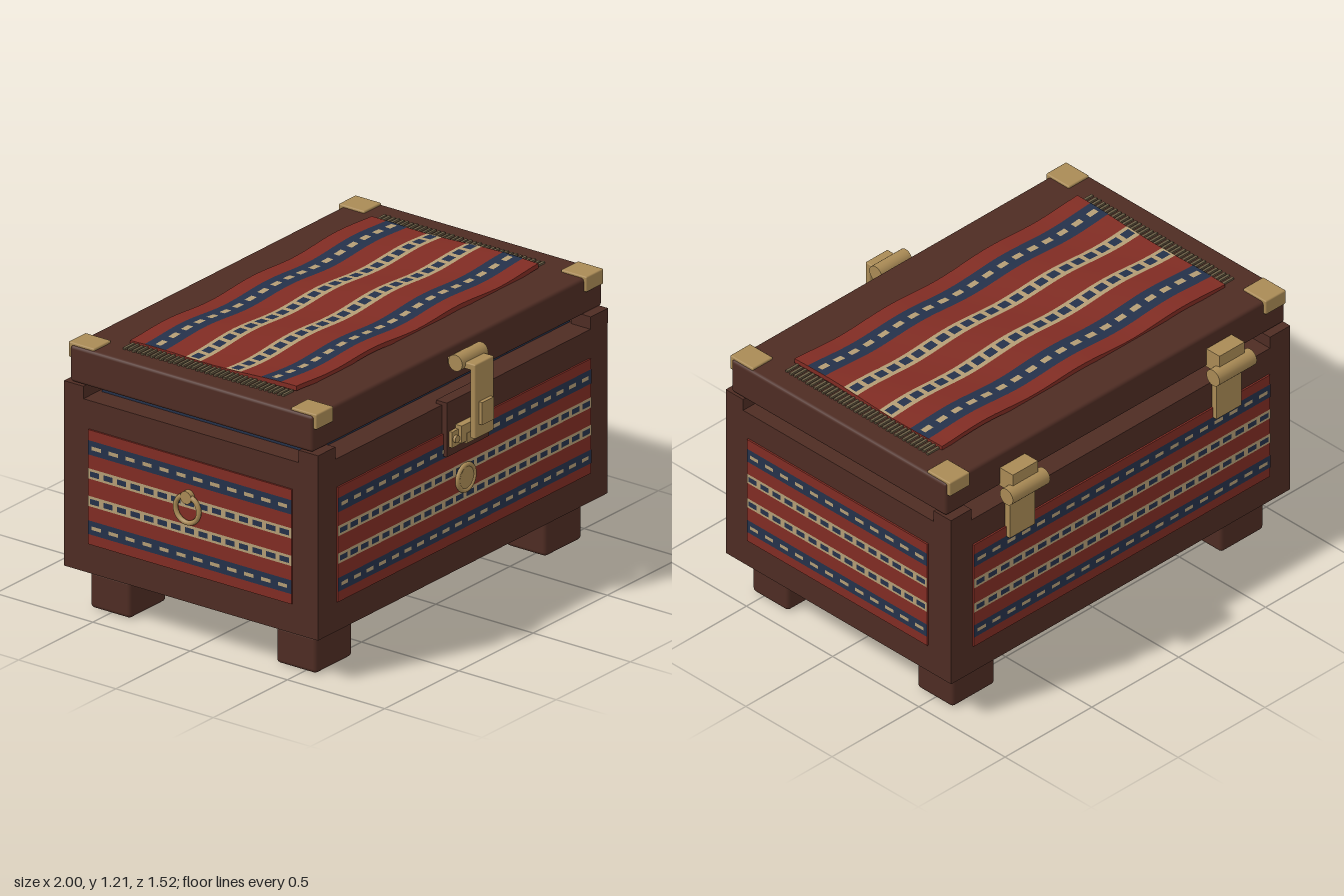
import * as THREE from 'three';
import { mergeGeometries } from 'three/addons/utils/BufferGeometryUtils.js';
import { RoundedBoxGeometry } from 'three/addons/geometries/RoundedBoxGeometry.js';

const mat = (name, color) => Object.assign(new THREE.MeshStandardMaterial({ color }), { name });

export function createModel() {
  const wood = mat('dark wood', 0x4e2c23);
  const red = mat('woven red', 0x802c23);
  const blue = mat('woven navy', 0x24314a);
  const cream = mat('woven cream', 0xb39c74);
  const brass = mat('brass', 0xa98a55);
  const fringeMat = mat('fringe thread', 0x6a5d45);

  const root = new THREE.Group();
  root.name = 'chest';
  const CX = 0.012, CZ = -0.022;

  const add = (name, geo, material, parent = root) => {
    const m = new THREE.Mesh(geo, material);
    m.name = name;
    parent.add(m);
    return m;
  };
  // Box given by its limits; r > 0 rounds the edges
  const box = (name, material, [x0, x1], [y0, y1], [z0, z1], r = 0, parent = root) => {
    const s = [x1 - x0, y1 - y0, z1 - z0];
    const g = r ? new RoundedBoxGeometry(...s, 2, r) : new THREE.BoxGeometry(...s);
    const m = add(name, g, material, parent);
    m.position.set((x0 + x1) / 2, (y0 + y1) / 2, (z0 + z1) / 2);
    return m;
  };
  // Cylinder lying along one axis
  const rod = (name, r, len, axis, x, y, z, parent = root) => {
    const g = new THREE.CylinderGeometry(r, r, len, 24);
    if (axis === 'x') g.rotateZ(Math.PI / 2);
    if (axis === 'z') g.rotateX(Math.PI / 2);
    const m = add(name, g, brass, parent);
    m.position.set(x, y, z);
    return m;
  };

  // Woven cloth in the xy plane facing +z, optionally rippled
  function cloth(name, w, h, thick, ripple = () => 0) {
    const group = new THREE.Group();
    group.name = name;
    const bend = (g) => {
      const p = g.attributes.position;
      for (let i = 0; i < p.count; i++)
        if (p.getZ(i) > 0) p.setZ(i, p.getZ(i) + ripple(p.getX(i), p.getY(i)));
      g.computeVertexNormals();
      return g;
    };
    const patch = (x, y, pw, ph, lift, seg) => {
      const g = new THREE.PlaneGeometry(pw, ph, seg, 1);
      return bend(g.translate(x, y, thick + lift));
    };
    add('clothBase', bend(new THREE.BoxGeometry(w, h, thick, 64, 12, 1).translate(0, 0, thick / 2)), red, group);
    const navy = [], pale = [];
    // [top, bottom] of each band as fractions of the height, and its kind
    const bands = [[0.09, 0.215, 'navy'], [0.335, 0.425, 'cream'], [0.575, 0.665, 'cream'], [0.79, 0.91, 'navy']];
    for (const [a, b, kind] of bands) {
      const y = h * (0.5 - (a + b) / 2), bh = h * (b - a);
      const isNavy = kind === 'navy';
      (isNavy ? navy : pale).push(patch(0, y, w, bh, 0.0015, 64));
      const n = Math.round(w / (isNavy ? 0.085 : 0.07)), step = w / n;
      for (let i = 0; i < n; i++) {
        const x = -w / 2 + (i + 0.5) * step;
        (isNavy ? pale : navy).push(patch(x, y, step * (isNavy ? 0.55 : 0.68), bh * (isNavy ? 0.26 : 0.52), 0.003, 3));
      }
    }
    add('navyWeave', mergeGeometries(navy), blue, group);
    add('creamWeave', mergeGeometries(pale), cream, group);
    root.add(group);
    return group;
  }

  // Carcass, base, lid and the lining in the gap
  box('body', wood, [-0.965, 0.988], [0.195, 0.96], [-0.675, 0.63]);
  box('basePlinth', wood, [-0.885, 0.91], [0.16, 0.2], [-0.577, 0.53]);
  box('lining', blue, [-0.86, 0.885], [0.95, 1.022], [-0.56, 0.515]);
  box('lid', wood, [-0.965, 0.988], [1.02, 1.18], [-0.645, 0.602], 0.014);

  // Feet, post tops and lid corner caps at each corner
  for (const sx of [-1, 1]) for (const sz of [-1, 1]) {
    const span = (c, s, a, b) => [c + s * a, c + s * b].sort((p, q) => p - q);
    box('foot', wood, span(CX, sx, 0.65, 0.897), [0, 0.166], span(CZ, sz, 0.373, 0.582), 0.018);
    box('cornerPost', wood, span(CX, sx, 0.86, 0.977), [0.95, 1.015], span(CZ, sz, 0.553, 0.653));
    box('cornerCap', brass, span(CX, sx, 0.852, 0.968), [1.122, 1.19], span(CZ, sz, 0.505, 0.638), 0.006);
  }

  // Cloth panels on the four sides
  const T = 0.008, PY = 0.58, PH = 0.508;
  cloth('frontCloth', 1.706, PH, T).position.set(CX, PY, 0.63);
  const back = cloth('backCloth', 1.706, PH, T);
  back.position.set(CX, PY, -0.675);
  back.rotation.y = Math.PI;
  for (const s of [-1, 1]) {
    const side = cloth(s > 0 ? 'leftCloth' : 'rightCloth', 1.045, PH, T);
    side.position.set(s > 0 ? 0.988 : -0.965, PY, CZ);
    side.rotation.y = s * Math.PI / 2;
  }

  // Rippled runner over the lid, with fringe at both ends
  const ripple = (x, y) => 0.007 * Math.sin(11 * x + 1.5 * Math.sin(4 * y)) + 0.004 * Math.cos(9 * y + 3 * x);
  const runner = cloth('lidRunner', 1.63, 0.856, 0.021, ripple);
  runner.position.set(CX, 1.179, -0.032);
  runner.rotation.x = -Math.PI / 2;
  const threads = [];
  for (const s of [-1, 1]) for (let i = 0; i < 36; i++) {
    const g = new THREE.BoxGeometry(0.066, 0.008, 0.012);
    threads.push(g.translate(CX + s * 0.848, 1.184 + 0.002 * (i % 2), -0.44 + i * 0.0233));
  }
  add('fringe', mergeGeometries(threads), fringeMat);

  // Hinges on the back
  for (const x of [-0.585, 0.605]) {
    const hinge = new THREE.Group();
    hinge.name = 'hinge';
    root.add(hinge);
    box('upperLeaf', brass, [x - 0.072, x + 0.072], [1.02, 1.11], [-0.72, -0.64], 0, hinge);
    box('lowerLeaf', brass, [x - 0.072, x + 0.072], [0.785, 1.02], [-0.702, -0.67], 0, hinge);
    rod('knuckle', 0.038, 0.215, 'x', x, 1.018, -0.718, hinge);
  }

  // Front clasp: wooden plate, keeper, hanging strap and pivot
  const clasp = new THREE.Group();
  clasp.name = 'clasp';
  root.add(clasp);
  box('claspPlate', wood, [-0.13, 0.155], [0.735, 0.975], [0.6, 0.656], 0, clasp);
  box('keeper', brass, [-0.115, 0.14], [0.775, 0.845], [0.65, 0.672], 0, clasp);
  box('keeperLoop', brass, [-0.072, 0.094], [0.785, 0.862], [0.65, 0.688], 0, clasp);
  for (const s of [-1, 1]) rod('rivet', 0.016, 0.014, 'z', CX + s * 0.106, 0.81, 0.677, clasp);
  box('strap', brass, [-0.053, 0.075], [0.81, 1.14], [0.715, 0.743], 0.006, clasp);
  box('strapArm', brass, [-0.053, 0.075], [1.11, 1.14], [0.59, 0.74], 0.006, clasp);
  box('strapStud', brass, [-0.028, 0.05], [0.87, 0.97], [0.735, 0.76], 0, clasp);
  box('strapTongue', brass, [-0.04, 0.062], [0.775, 0.82], [0.66, 0.69], 0, clasp);
  rod('pivot', 0.036, 0.175, 'x', CX, 1.135, 0.658, clasp);

  // Round boss below the clasp
  rod('boss', 0.055, 0.02, 'z', CX, 0.597, 0.64);
  add('bossRim', new THREE.TorusGeometry(0.056, 0.01, 8, 32), brass).position.set(CX, 0.597, 0.646);

  // Ring pull on the right side
  const ring = add('ringPull', new THREE.TorusGeometry(0.06, 0.011, 8, 32).rotateY(Math.PI / 2), brass);
  ring.position.set(-0.987, 0.618, -0.025);
  rod('ringMount', 0.028, 0.03, 'x', -0.983, 0.672, -0.025);

  return root;
}
